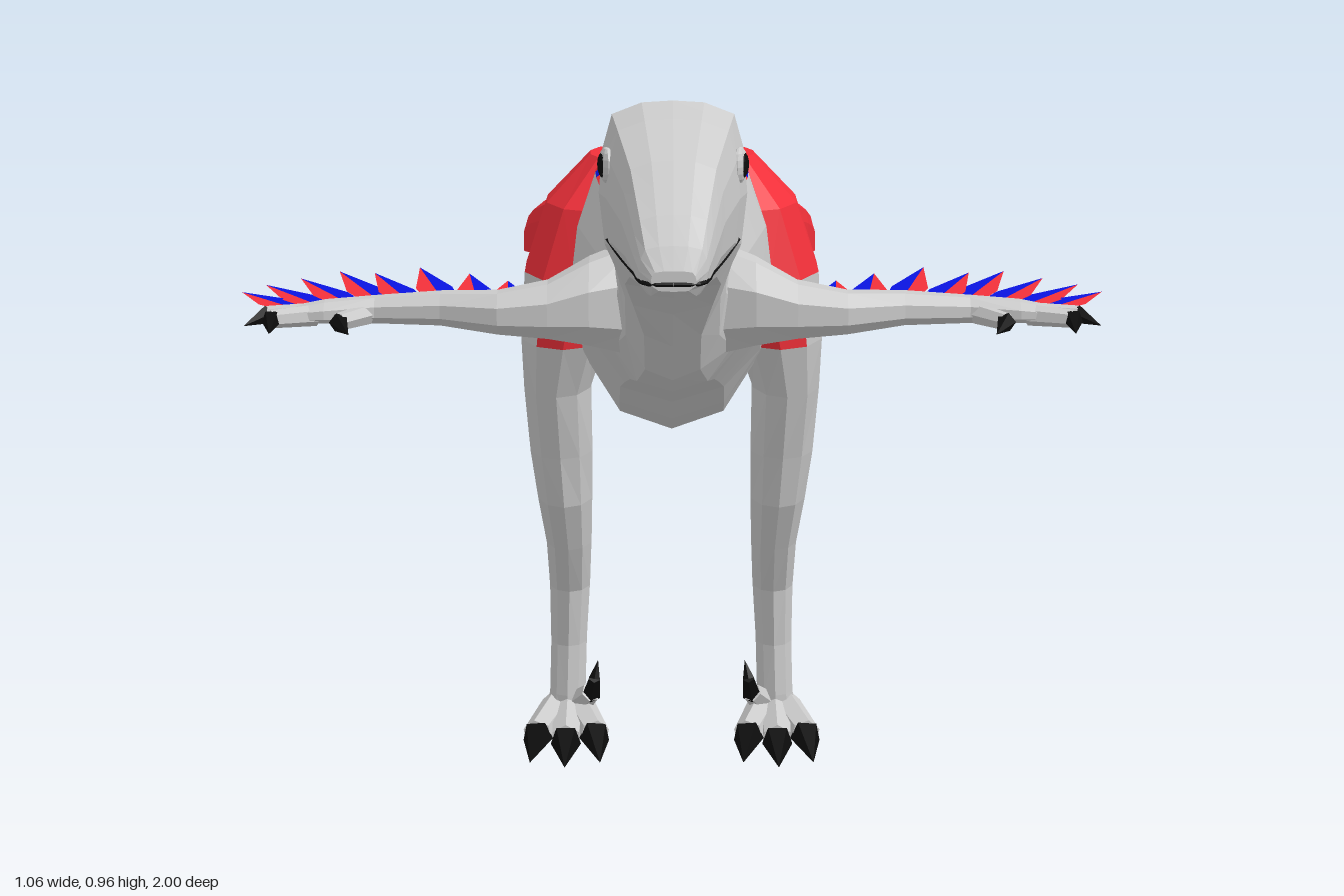
import * as THREE from 'three';

const GREY = 0xcccccc, RED = 0xf2303a, BLUE = 0x0a14e0, BLACK = 0x0c0c0c;
const mats = {};
const mat = (color) => (mats[color] ??= new THREE.MeshStandardMaterial({ color, flatShading: true, side: THREE.DoubleSide }));
const V = (x, y, z) => new THREE.Vector3(x, y, z);
const { lerp, smoothstep } = THREE.MathUtils;

// Skins closed rings into one mesh per colour; colour(i, j) picks the colour of each quad.
function loft(name, rings, colour = () => GREY) {
  const tris = [], n = rings[0].length, last = rings.length - 1;
  for (let i = 0; i < last; i++) for (let j = 0; j < n; j++) {
    const k = (j + 1) % n, c = colour(i, j);
    const [a, b, d, e] = [rings[i][j], rings[i][k], rings[i + 1][k], rings[i + 1][j]];
    tris.push([a, b, d, c], [a, d, e, c]);
  }
  for (let j = 1; j < n - 1; j++) {
    tris.push([rings[0][0], rings[0][j + 1], rings[0][j], colour(0, j)]);
    tris.push([rings[last][0], rings[last][j], rings[last][j + 1], colour(last - 1, j)]);
  }
  const volume = tris.reduce((s, [a, b, c]) => s + a.dot(b.clone().cross(c)), 0);
  const buckets = {};
  for (const [a, b, c, col] of tris)
    (buckets[col] ??= []).push(...(volume < 0 ? [a, c, b] : [a, b, c]));
  const group = new THREE.Group();
  group.name = name;
  for (const col in buckets) {
    const g = new THREE.BufferGeometry().setFromPoints(buckets[col]);
    g.computeVertexNormals();
    const m = new THREE.Mesh(g, mat(Number(col)));
    m.name = name + 'Surface';
    group.add(m);
  }
  return group;
}

// Tapered bar between two points; rb = 0 gives a claw.
function bar(name, a, b, ra, rb, color = GREY, sides = 6) {
  const dir = b.clone().sub(a);
  const m = new THREE.Mesh(new THREE.CylinderGeometry(rb, ra, dir.length(), sides), mat(color));
  m.position.copy(a).add(b).multiplyScalar(0.5);
  m.quaternion.setFromUnitVectors(V(0, 1, 0), dir.normalize());
  m.name = name;
  return m;
}

// Trunk stations from tail to snout: z, top, bottom, half width
const TRUNK = [
  [-0.89, 0.54, 0.46, 0.23], [-0.8, 0.59, 0.475, 0.222], [-0.7, 0.635, 0.495, 0.185],
  [-0.6, 0.67, 0.515, 0.143], [-0.5, 0.7, 0.54, 0.1], [-0.4, 0.72, 0.565, 0.066],
  [-0.3, 0.72, 0.595, 0.05], [-0.2, 0.71, 0.61, 0.044], [-0.1, 0.71, 0.615, 0.042],
  [0, 0.735, 0.605, 0.05], [0.1, 0.775, 0.54, 0.078], [0.2, 0.825, 0.465, 0.11],
  [0.3, 0.85, 0.455, 0.13], [0.4, 0.845, 0.52, 0.125], [0.5, 0.81, 0.555, 0.1],
  [0.57, 0.785, 0.57, 0.078], [0.62, 0.825, 0.6, 0.06], [0.68, 0.91, 0.665, 0.065],
  [0.72, 0.942, 0.7, 0.077], [0.77, 0.957, 0.735, 0.085], [0.83, 0.945, 0.757, 0.076],
  [0.9, 0.91, 0.765, 0.058], [0.96, 0.86, 0.768, 0.045], [0.985, 0.83, 0.772, 0.038], [1, 0.805, 0.782, 0.025],
];
// Half outlines from top to bottom as fractions of width and height
const BODY = [[0, 1], [0.4, 0.98], [0.75, 0.87], [0.93, 0.68], [1, 0.48], [0.88, 0.25], [0.52, 0.06], [0, 0]];
const TAIL = [[0, 1], [0.5, 0.9], [0.9, 0.68], [0.98, 0.56], [1, 0.38], [1, 0], [0.5, 0.1], [0, 0.18]];
const HEAD = [[0, 1], [0.42, 0.99], [0.82, 0.93], [0.95, 0.75], [1, 0.52], [0.92, 0.25], [0.65, 0.04], [0, 0]];

function halfSection(z) {
  let i = 0;
  while (i < TRUNK.length - 2 && TRUNK[i + 1][0] < z) i++;
  const [p, q] = [TRUNK[i], TRUNK[i + 1]], t = (z - p[0]) / (q[0] - p[0]);
  const [top, bottom, w] = [1, 2, 3].map((k) => lerp(p[k], q[k], t));
  const kt = 1 - smoothstep(z, -0.6, -0.2), kh = smoothstep(z, 0.64, 0.76);
  return BODY.map((b, j) => {
    const f = [0, 1].map((k) => lerp(lerp(b[k], TAIL[j][k], kt), HEAD[j][k], kh));
    const tip = z < -0.88 ? 0.11 * (1 - f[0]) : 0; // pointed fan end
    return V(f[0] * w, lerp(bottom, top, f[1]), z - tip);
  });
}

// Outer x of the trunk at a given z and y
function surfaceX(z, y) {
  const h = halfSection(z);
  const j = Math.max(1, h.findIndex((p) => p.y <= y));
  return lerp(h[j - 1].x, h[j].x, (h[j - 1].y - y) / (h[j - 1].y - h[j].y));
}

function trunk() {
  const zs = Array.from({ length: 32 }, (_, i) => -0.89 + (1.66 * i) / 31);
  zs.push(0.8, 0.83, 0.87, 0.9, 0.93, 0.96, 0.985, 1);
  const rings = zs.map((z) => {
    const h = halfSection(z);
    return [...h, ...h.slice(1, -1).reverse().map((p) => V(-p.x, p.y, p.z))];
  });
  // Red back with a row of blue patches each side
  return loft('bodyAndTail', rings, (i, j) => {
    const col = Math.min(j, 13 - j), z = (zs[i] + zs[i + 1]) / 2;
    if (z > 0.77) return GREY;
    if (col === 1 && i % 2 === 1) return BLUE;
    if (col <= 1 || z < -0.38) return RED;
    if (z < -0.1) return col <= (z < -0.25 ? 4 : 3) ? RED : GREY;
    return z > 0.12 && z < 0.34 && col <= 3 ? RED : GREY;
  });
}

// Leg stations: y, x, z, half width, half depth
const LEG = [
  [0.81, 0.075, 0.25, 0.03, 0.05], [0.75, 0.1, 0.25, 0.062, 0.095], [0.66, 0.123, 0.245, 0.068, 0.11],
  [0.57, 0.138, 0.235, 0.058, 0.1], [0.5, 0.148, 0.215, 0.045, 0.088], [0.41, 0.144, 0.2, 0.042, 0.068],
  [0.34, 0.14, 0.175, 0.037, 0.072], [0.27, 0.136, 0.142, 0.031, 0.06], [0.2, 0.136, 0.108, 0.028, 0.048],
  [0.12, 0.138, 0.103, 0.025, 0.038], [0.05, 0.14, 0.104, 0.025, 0.036], [0, 0.14, 0.102, 0.032, 0.034],
];
// Arm stations: x, y, z, half height, half depth
const ARM = [
  [0.04, 0.68, 0.53, 0.075, 0.07], [0.1, 0.68, 0.555, 0.055, 0.06], [0.15, 0.673, 0.572, 0.036, 0.042],
  [0.21, 0.67, 0.575, 0.027, 0.033], [0.28, 0.67, 0.55, 0.021, 0.029], [0.36, 0.666, 0.538, 0.017, 0.023],
  [0.42, 0.665, 0.546, 0.014, 0.028], [0.465, 0.662, 0.55, 0.009, 0.02],
];
const around = (n, f) => Array.from({ length: n }, (_, k) => {
  const a = ((k + 0.5) / n) * Math.PI * 2;
  return f(Math.cos(a), Math.sin(a));
});

function leg(s) {
  const g = new THREE.Group();
  g.name = s > 0 ? 'leftLeg' : 'rightLeg';
  const rings = LEG.map(([y, x, z, rx, rz]) => around(10, (c, d) => V(s * (x + c * rx), y, z + d * rz)));
  g.add(loft('legLimb', rings, (i, j) => (i < 2 || (i === 2 && j > 0 && j < 4) ? RED : GREY)));
  // Three toes with claws
  for (const k of [-1, 0, 1]) {
    const x = 0.14 + k * 0.038, reach = k === 0 ? 0.02 : 0;
    const knuckle = V(s * x, 0.02, 0.215 + reach);
    g.add(bar('toe', V(s * (0.14 + k * 0.012), 0.024, 0.1), knuckle, 0.024, 0.02));
    g.add(bar('toeClaw', knuckle, V(s * (x + k * 0.008), 0.006, 0.29 + reach), 0.021, 0, BLACK, 5));
  }
  // Raised inner claw
  g.add(bar('raisedToe', V(s * 0.125, 0.035, 0.12), V(s * 0.108, 0.06, 0.155), 0.018, 0.013));
  g.add(bar('raisedClawBase', V(s * 0.108, 0.055, 0.15), V(s * 0.103, 0.085, 0.172), 0.013, 0.008, BLACK, 5));
  g.add(bar('raisedClawTip', V(s * 0.103, 0.084, 0.171), V(s * 0.098, 0.108, 0.165), 0.008, 0, BLACK, 5));
  return g;
}

// Flat feather split lengthwise into a red and a blue half
function feather(s, [bx, bz], [tx, tz]) {
  const base = V(s * bx, 0.662, bz), tip = V(s * tx, 0.67, tz), g = new THREE.Group();
  g.name = 'feather';
  const side = V(-(tip.z - base.z), 0, tip.x - base.x).normalize();
  const mid = base.clone().lerp(tip, 0.55);
  for (const k of [-1, 1]) {
    const a = base.clone().addScaledVector(side, k * 0.016), b = mid.clone().addScaledVector(side, k * 0.023);
    const geo = new THREE.BufferGeometry().setFromPoints([base, a, b, base, b, tip]);
    geo.computeVertexNormals();
    const m = new THREE.Mesh(geo, mat(k * s > 0 ? RED : BLUE));
    m.name = 'featherHalf';
    g.add(m);
  }
  return g;
}

function arm(s) {
  const g = new THREE.Group();
  g.name = s > 0 ? 'leftArm' : 'rightArm';
  g.add(loft('armLimb', ARM.map(([x, y, z, ry, rz]) => around(8, (c, d) => V(s * x, y + c * ry, z + d * rz)))));
  // Fingers: root, knuckle, claw tip as x, z
  for (const [r, k, t] of [
    [[0.37, 0.55], [0.4, 0.595], [0.385, 0.635]],
    [[0.43, 0.555], [0.482, 0.578], [0.48, 0.63]],
    [[0.44, 0.545], [0.49, 0.553], [0.515, 0.585]],
  ]) {
    const [a, b, c] = [V(s * r[0], 0.662, r[1]), V(s * k[0], 0.662, k[1]), V(s * t[0], 0.655, t[1])];
    g.add(bar('finger', a, b, 0.013, 0.011), bar('fingerClaw', b, c, 0.012, 0, BLACK, 5));
  }
  // Feather fan along the trailing edge
  const tips = [[0.13, 0.45], [0.165, 0.42], [0.205, 0.385], [0.255, 0.34], [0.32, 0.3], [0.375, 0.335],
    [0.42, 0.325], [0.465, 0.37], [0.505, 0.41], [0.53, 0.455]];
  tips.forEach((t, i) => g.add(feather(s, [0.13 + i * 0.034, 0.545], t)));
  return g;
}

export function createModel() {
  const model = new THREE.Group();
  model.name = 'featheredDinosaur';
  model.add(trunk());
  for (const s of [1, -1]) {
    model.add(leg(s), arm(s));
    // Eye with its socket rim
    const x = surfaceX(0.815, 0.89);
    for (const [name, r, c, off] of [['eyeSocket', 0.021, GREY, 0], ['eye', 0.015, BLACK, 0.004]]) {
      const e = new THREE.Mesh(new THREE.SphereGeometry(r, 10, 8), mat(c));
      e.scale.x = 0.4;
      e.position.set(s * (x + off), 0.89, 0.815);
      e.rotation.y = -s * 0.25;
      e.name = name;
      model.add(e);
    }
    // Mouth line
    const pts = [[0.8, 0.802], [0.84, 0.79], [0.88, 0.784], [0.92, 0.784], [0.96, 0.788], [0.985, 0.79], [0.998, 0.79]]
      .map(([z, y]) => V(s * surfaceX(z, y), y, z));
    pts.push(V(0, 0.79, 1));
    const mouth = new THREE.Mesh(new THREE.TubeGeometry(new THREE.CatmullRomCurve3(pts), 24, 0.0025, 4), mat(BLACK));
    mouth.name = 'mouthLine';
    model.add(mouth);
  }
  return model;
}
